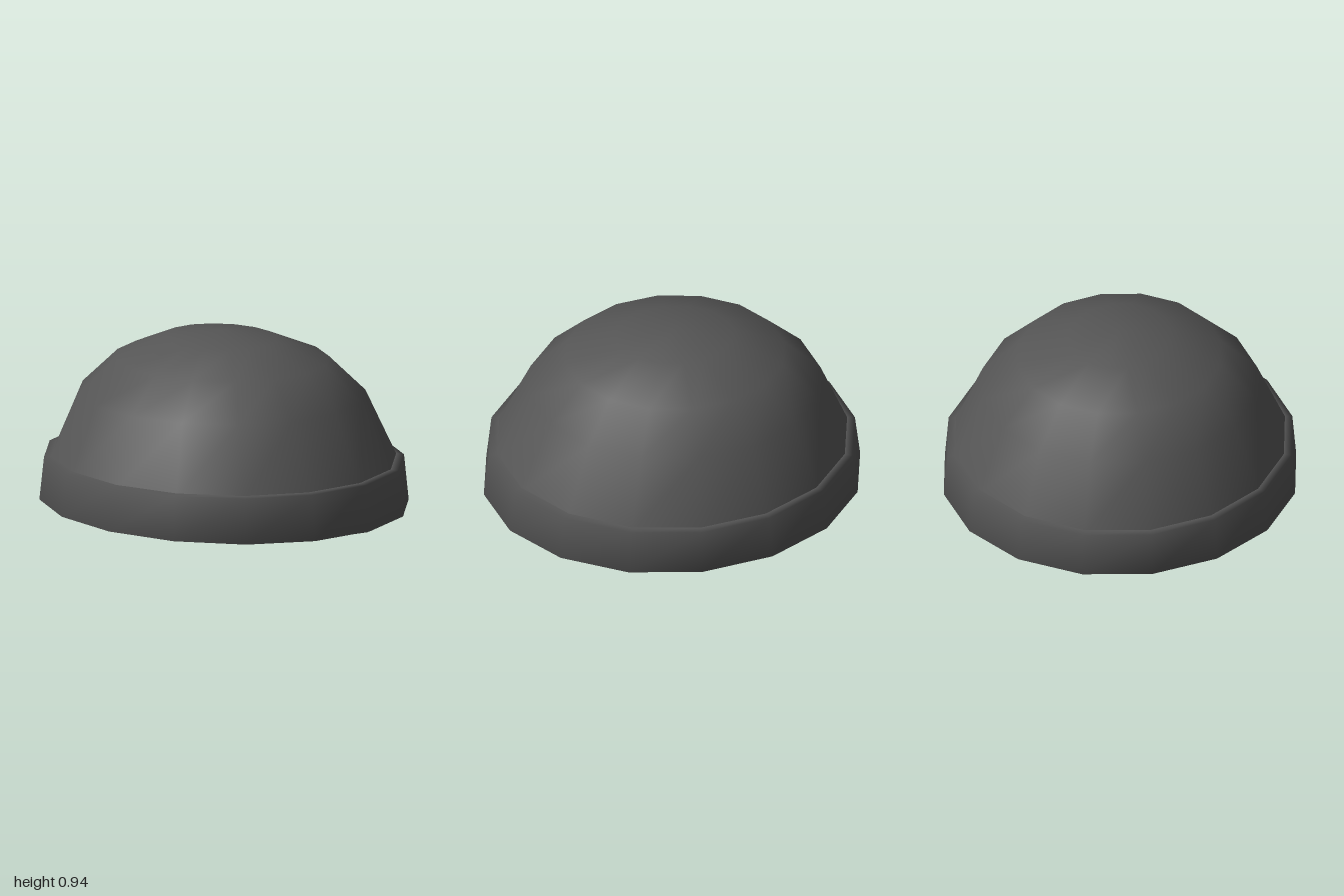
import * as THREE from 'three';
import { mergeVertices } from 'three/addons/utils/BufferGeometryUtils.js';

const SIDES = 16;
const material = new THREE.MeshStandardMaterial({ color: 0x555555, side: THREE.DoubleSide });

// Skin elliptical rings [radiusX, radiusZ, y, centreZ, slope along z].
// Rings listed upward on the outside face outward; downward they face inward.
function skin(name, rings) {
  const positions = [], index = [];
  for (const [rx, rz, y, cz = 0, slope = 0] of rings) {
    for (let j = 0; j < SIDES; j++) {
      const a = (j / SIDES) * Math.PI * 2;
      const z = cz + rz * Math.cos(a);
      positions.push(rx * Math.sin(a), y + slope * z, z);
    }
  }
  for (let i = 0; i < rings.length - 1; i++) {
    for (let j = 0; j < SIDES; j++) {
      const k = (j + 1) % SIDES;
      const a = i * SIDES + j, b = i * SIDES + k;
      const c = b + SIDES, d = a + SIDES;
      if (rings[i][0] > 0) index.push(a, b, c);
      if (rings[i + 1][0] > 0) index.push(a, c, d);
      else if (rings[i][0] > 0) index.splice(-1, 1, d);
    }
  }
  let geometry = new THREE.BufferGeometry();
  geometry.setAttribute('position', new THREE.Float32BufferAttribute(positions, 3));
  geometry.setIndex(index);
  geometry = mergeVertices(geometry);
  geometry.computeVertexNormals();
  const mesh = new THREE.Mesh(geometry, material);
  mesh.name = name;
  return mesh;
}

export function createModel() {
  const hat = new THREE.Group();
  hat.name = 'knitHat';

  // Rounded crown, with its lower edge tucked into the cuff
  hat.add(skin('crown', [
    [0.885, 0.94, 0.24, 0, -0.008],
    [0.73, 0.775, 0.6, -0.015],
    [0.54, 0.582, 0.785, -0.015],
    [0.27, 0.315, 0.897, -0.015],
    [0, 0, 0.935, -0.015],
  ]));

  // Folded cuff: underside, flared outer wall, top lip
  hat.add(skin('cuff', [
    [0.87, 0.935, 0.028, 0, -0.015],
    [0.935, 1.0, 0.022, 0, -0.016],
    [0.915, 0.972, 0.257, 0, -0.008],
    [0.875, 0.93, 0.262, 0, -0.008],
  ]));

  // Inner lining, from the apex down to the opening
  hat.add(skin('lining', [
    [0, 0, 0.9, -0.015],
    [0.255, 0.3, 0.862, -0.015],
    [0.51, 0.55, 0.757, -0.015],
    [0.695, 0.74, 0.58, -0.015],
    [0.85, 0.905, 0.25, 0, -0.008],
    [0.87, 0.935, 0.028, 0, -0.015],
  ]));

  // Overlapping end of the cuff fold, hanging just below the front edge
  const flap = new THREE.Shape();
  flap.moveTo(-0.345, 0.045);
  flap.lineTo(-0.345, 0.012);
  flap.lineTo(0, 0);
  flap.lineTo(0, 0.045);
  const flapGeometry = new THREE.ShapeGeometry(flap);
  const p = flapGeometry.attributes.position;
  for (let i = 0; i < p.count; i++) p.setZ(i, 0.99 + 0.21 * p.getX(i));
  flapGeometry.computeVertexNormals();
  const flapMesh = new THREE.Mesh(flapGeometry, material);
  flapMesh.name = 'cuffFoldEnd';
  hat.add(flapMesh);

  return hat;
}
